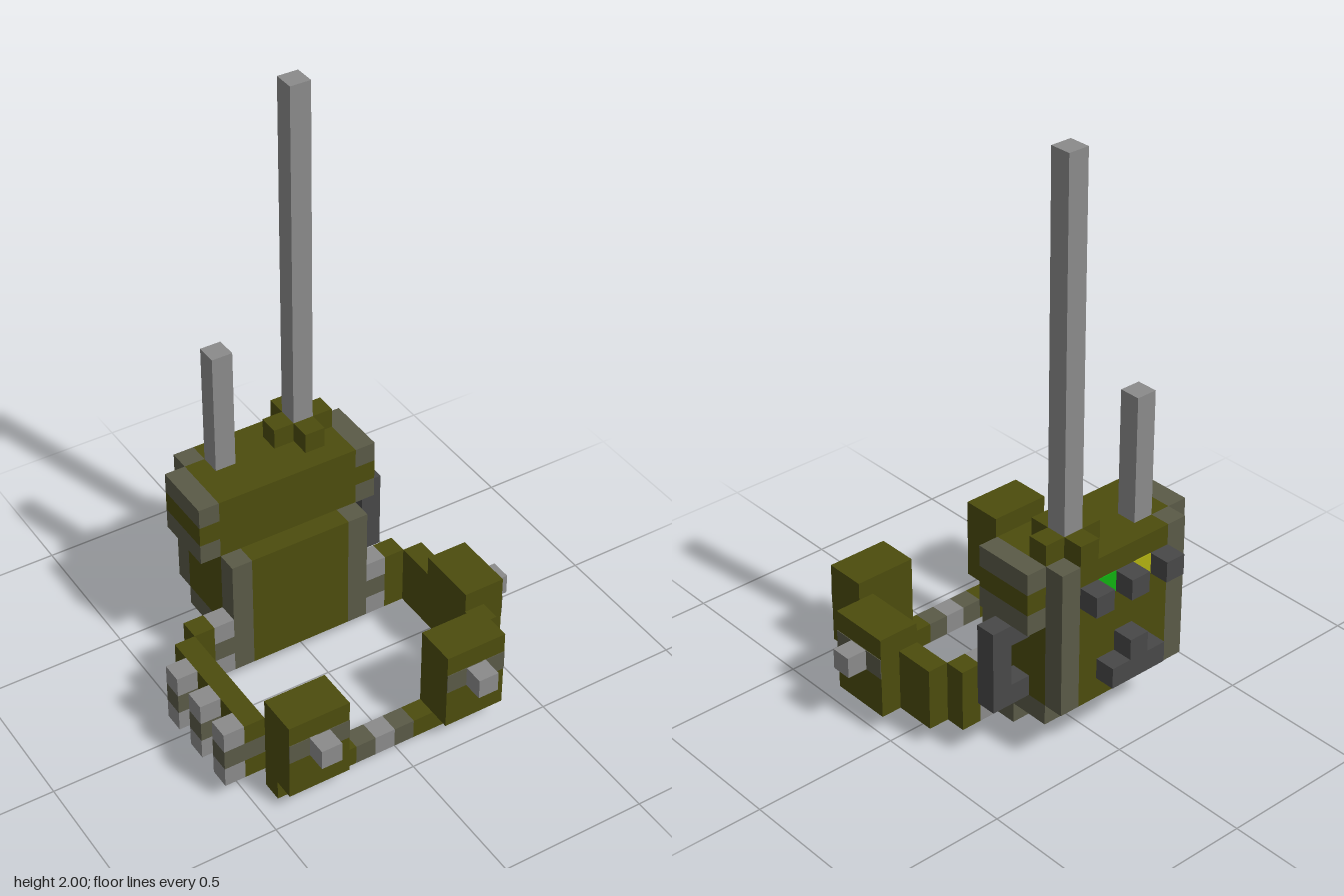
import * as THREE from 'three';

const U = 1 / 14; // one cube of the grid
const mat = (color) => new THREE.MeshStandardMaterial({ color, flatShading: true });

export function createModel() {
  const model = new THREE.Group();
  const olive = mat(0x4c4c0d), trim = mat(0x5a5a47), steel = mat(0x8a8a8a), dark = mat(0x484848);
  const green = mat(0x10b010), yellow = mat(0xb0b010);

  // Block from grid ranges: x from the middle, y from the ground, z from the back
  const block = (name, material, x0, x1, y0, y1, z0, z1) => {
    const mesh = new THREE.Mesh(new THREE.BoxGeometry((x1 - x0) * U, (y1 - y0) * U, (z1 - z0) * U), material);
    mesh.position.set((x0 + x1) / 2 * U, (y0 + y1) / 2 * U, ((z0 + z1) / 2 - 7.5) * U);
    mesh.name = name;
    model.add(mesh);
  };
  // The pack is mirrored about x = -0.5
  const pair = (name, material, x0, x1, ...rest) => {
    block(name + 'Left', material, x0, x1, ...rest);
    block(name + 'Right', material, -1 - x1, -1 - x0, ...rest);
  };

  // Pack body with trimmed corners
  block('packCore', olive, -4, 3, 3, 10, 2, 5);
  block('packFront', olive, -3, 2, 1, 7, 5, 6);
  block('packBack', olive, -3, 2, 3, 10, 1, 2);
  pair('frontCorner', trim, 2, 3, 1, 7, 5, 6);
  pair('backCorner', trim, 2, 3, 3, 10, 1, 2);

  // Stepped underside
  block('undersideFill', olive, -4, 3, 2, 3, 4, 5);
  block('undersideStepUpper', trim, -4, 3, 2, 3, 2, 4);
  block('undersideStepLower', trim, -4, 3, 1, 2, 4, 5);

  // Wider top section
  pair('topSideUpper', trim, 3, 4, 9, 10, 2, 5);
  pair('topSideMiddle', olive, 3, 4, 8, 9, 2, 5);
  pair('topSideLower', trim, 3, 4, 7, 8, 2, 5);

  // Antennas and the cross-shaped mount
  block('antennaMount', olive, 0, 3, 10, 11, 2, 3);
  block('antennaMountBack', olive, 1, 2, 10, 11, 1, 2);
  block('antennaMountFront', olive, 1, 2, 10, 11, 3, 4);
  block('longAntenna', steel, 1, 2, 11, 28, 2, 3);
  block('shortAntenna', steel, -3, -2, 10, 16, 2, 3);

  // Back controls: knobs, lamps and a stepped bracket
  for (const x of [-3, -1, 1]) block('knob', dark, x, x + 1, 8, 9, 0, 1);
  block('greenLamp', green, 0, 1, 8, 9, 0.96, 1);
  block('yellowLamp', yellow, -2, -1, 8, 9, 0.96, 1);
  block('bracketBase', dark, -2, 1, 4, 5, 0, 1);
  block('bracketTop', dark, -1, 0, 5, 6, 0, 1);

  // Side handle
  block('handleGrip', dark, 4, 5, 3, 7, 3, 4);
  block('handleTopArm', dark, 3, 4, 6, 7, 3, 4);
  block('handleBottomArm', dark, 3, 4, 3, 4, 3, 4);

  // Belt beside the pack, with buckles
  pair('beltBack', olive, 4, 5, 1, 4, 5, 6);
  for (const y of [1, 2, 3]) pair('sideBuckle', y === 2 ? trim : steel, 3, 4, y, y + 1, 5, 6);

  // Belt sides
  block('beltLeft', olive, 5, 6, 1, 4, 6, 12);
  block('beltRightUpper', olive, -7, -6, 3, 4, 6, 12);
  block('beltRightLower', olive, -7, -6, 1, 2, 6, 12);
  block('beltRightEnd', olive, -7, -6, 2, 3, 6, 7);
  block('beltRightStrap', trim, -7, -6, 2, 3, 7, 12);

  // Cartridges held by a loop on the right
  for (const z of [7, 9, 11])
    for (const y of [1, 2, 3]) block('cartridge', y === 2 ? trim : steel, -8, -7, y, y + 1, z, z + 1);

  // Front belt with buckle
  block('beltFrontRight', olive, -6, -2, 0, 1, 12, 13);
  block('beltFrontLeft', olive, 1, 4, 0, 1, 12, 13);
  block('buckleRight', trim, -2, -1, 0, 1, 12, 13);
  block('buckleCentre', steel, -1, 0, 0, 1, 12, 13);
  block('buckleLeft', trim, 0, 1, 0, 1, 12, 13);

  // Pouches with a strap and a button
  pair('frontPouch', olive, 2, 5, 1, 5, 12, 14);
  pair('frontPouchStrap', trim, 2, 5, 3, 4, 14, 14.03);
  pair('frontPouchButton', steel, 3, 4, 3, 4, 14, 15);
  block('sidePouchBase', olive, 5, 6, 4, 5, 8, 11);
  block('sidePouch', olive, 6, 7, 1, 5, 8, 11);
  block('sidePouchStrap', trim, 7, 7.03, 3, 4, 8, 11);
  block('sidePouchButton', steel, 7, 8, 3, 4, 9, 10);

  return model;
}
